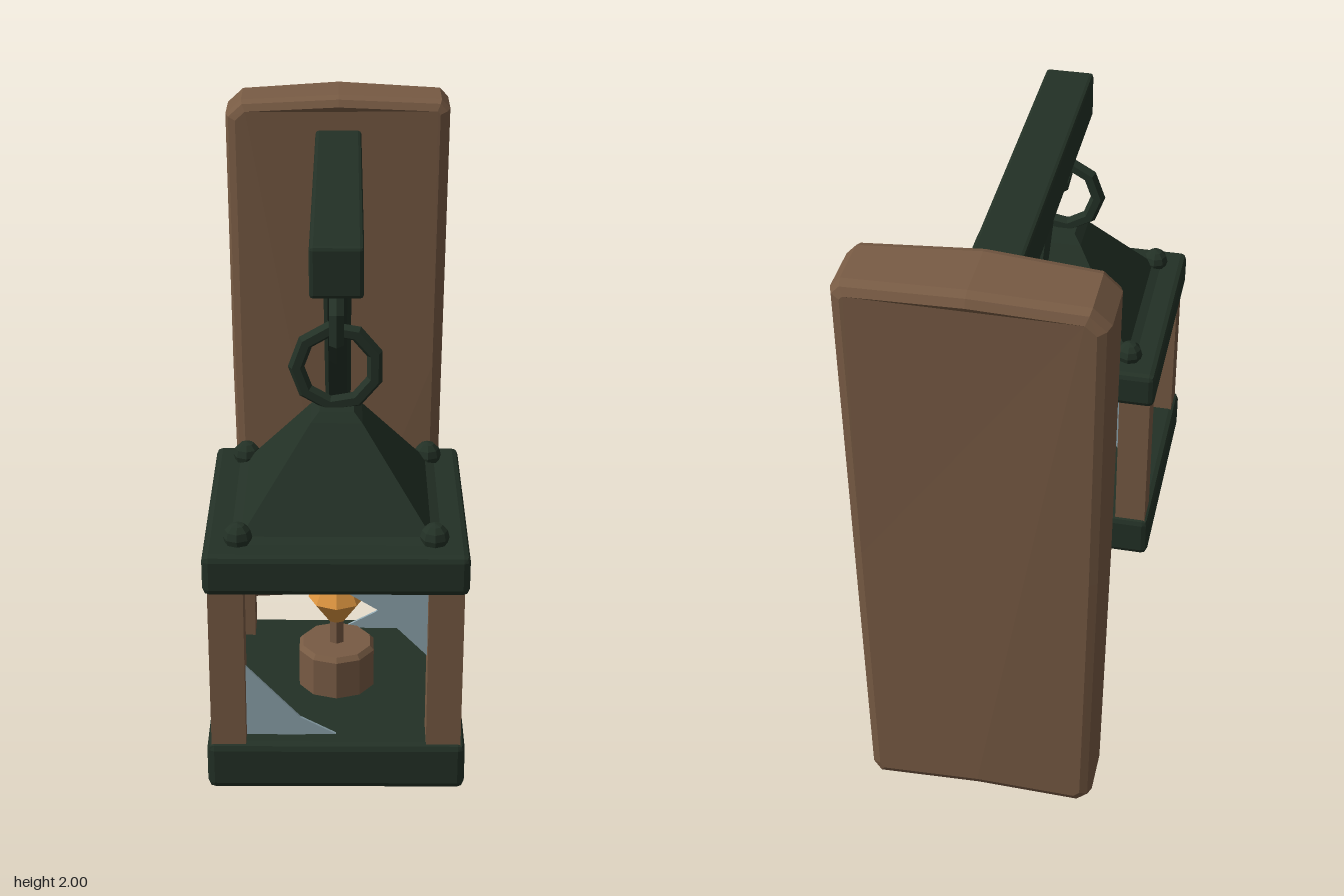
import * as THREE from 'three';
import { RoundedBoxGeometry } from 'three/addons/geometries/RoundedBoxGeometry.js';

const CZ = 0.515; // lantern centre depth

export function createModel() {
  const model = new THREE.Group();
  model.name = 'wallLantern';

  const paint = (name, color, side = THREE.FrontSide) => {
    const m = new THREE.MeshStandardMaterial({ color, flatShading: true, side });
    m.name = name;
    return m;
  };
  const wood = paint('wood', 0x785b44);
  const iron = paint('darkIron', 0x233126);
  const glass = paint('brokenGlass', 0x8fa6af, THREE.DoubleSide);
  const fire = paint('flame', 0xdd9540);

  const add = (name, geometry, material, x = 0, y = 0, z = 0, parent = model) => {
    const mesh = new THREE.Mesh(geometry, material);
    mesh.name = name;
    mesh.position.set(x, y, z);
    parent.add(mesh);
    return mesh;
  };
  const box = (w, h, d, r) => new RoundedBoxGeometry(w, h, d, 1, r);
  const lathe = (points, sides) =>
    new THREE.LatheGeometry(points.map(([r, y]) => new THREE.Vector2(r, y)), sides);
  const shape = (points) => new THREE.Shape(points.map(([x, y]) => new THREE.Vector2(x, y)));

  // Hand-hewn wall board, bulging slightly along its middle
  const outline = [
    [-0.33, 0.012], [0, 0.035], [0.34, 0.002], [0.37, 0.05], [0.38, 1.0], [0.39, 1.95],
    [0.36, 1.982], [0, 2.0], [-0.34, 1.98], [-0.395, 1.93], [-0.388, 1.0], [-0.372, 0.05],
  ];
  const boardGeo = new THREE.ExtrudeGeometry(shape(outline), {
    depth: 0.155, bevelThickness: 0.04, bevelSize: 0.035, bevelOffset: -0.035, bevelSegments: 2,
  });
  boardGeo.translate(0, 0, -0.85);
  const p = boardGeo.attributes.position;
  for (let i = 0; i < p.count; i++) {
    const bulge = 0.013 * (1 - Math.min(1, Math.abs(p.getX(i)) / 0.35));
    const lean = 0.005 * (p.getY(i) - 1);
    p.setZ(i, p.getZ(i) + (p.getZ(i) > -0.77 ? bulge + lean : -bulge - lean));
  }
  add('wallBoard', boardGeo, wood);

  // Bracket arm and diagonal brace
  add('bracketArm', box(0.16, 0.16, 1.29, 0.012), iron, 0, 1.8, -0.019);
  const top = new THREE.Vector3(0, 1.755, 0.238);
  const foot = new THREE.Vector3(0, 0.675, -0.67);
  const dir = top.clone().sub(foot);
  const brace = add('brace', new THREE.CylinderGeometry(0.045, 0.045, dir.length(), 8), iron);
  brace.position.copy(top).add(foot).multiplyScalar(0.5);
  brace.quaternion.setFromUnitVectors(new THREE.Vector3(0, 1, 0), dir.normalize());

  // Bolts on the board
  const bolt = (r) => new THREE.SphereGeometry(r, 8, 6);
  for (const y of [1.43, 0.305]) {
    add('boardBolt', bolt(0.058), iron, 0, y, -0.647).rotation.x = Math.PI / 2;
  }

  // Two linked chain rings
  const ring = new THREE.TorusGeometry(0.122, 0.025, 6, 9);
  add('upperRing', ring, iron, 0, 1.63, CZ).rotation.y = Math.PI / 2;
  add('lowerRing', ring, iron, 0, 1.468, CZ).rotation.z = Math.PI;

  // Lantern body
  const lantern = new THREE.Group();
  lantern.name = 'lantern';
  lantern.position.z = CZ;
  model.add(lantern);

  add('topPlate', box(0.79, 0.13, 0.79, 0.02), iron, 0, 0.96, 0, lantern);
  add('bottomPlate', box(0.79, 0.158, 0.79, 0.022), iron, 0, 0.299, 0, lantern);

  // Square roof: half widths become corner radii
  const roof = [[0.325, 1.02], [0.283, 1.037], [0.078, 1.315], [0.052, 1.342], [0, 1.342]];
  add('roof', lathe(roof.map(([w, y]) => [w * Math.SQRT2, y]), 4), iron, 0, 0, 0, lantern)
    .rotation.y = Math.PI / 4;
  add('bottomFinial', lathe([[0, 0.045], [0.068, 0.045], [0.085, 0.06], [0.222, 0.225]], 8),
    iron, 0, 0, 0, lantern);

  // Corner posts and roof bolts
  for (const sx of [-1, 1]) {
    for (const sz of [-1, 1]) {
      add('post', new THREE.BoxGeometry(0.106, 0.54, 0.106), wood,
        sx * 0.328, 0.637, sz * 0.328, lantern);
      add('roofBolt', bolt(0.044), iron, sx * 0.292, 1.043, sz * 0.292, lantern);
    }
  }

  // Candle holder, stem and flame
  add('candleBase', lathe([[0, 0.37], [0.125, 0.37], [0.125, 0.505], [0.112, 0.52], [0, 0.52]], 10),
    wood, 0, 0, 0, lantern);
  add('candleStem', new THREE.CylinderGeometry(0.025, 0.025, 0.12, 6), wood, 0, 0.56, 0, lantern);
  add('flame', lathe([[0, 0.6], [0.03, 0.6], [0.09, 0.68], [0.014, 0.835], [0, 0.84]], 8),
    fire, 0, 0, 0, lantern);

  // Broken panes: a lower shard on each side, an upper one on front and back
  const panes = [
    { turn: 0, low: [[-0.275, 0.62], [-0.11, 0.44], [0, 0.38]],
      high: [[0.275, 0.66], [0.12, 0.82], [0, 0.895]] },
    { turn: 1, low: [[-0.275, 0.73], [-0.125, 0.5], [-0.075, 0.44], [0.01, 0.38]] },
    { turn: 2, low: [[-0.275, 0.56], [-0.13, 0.44], [-0.02, 0.38]],
      high: [[0.275, 0.64], [0.18, 0.8], [0.02, 0.895]] },
    { turn: 3, low: [[-0.275, 0.67], [-0.125, 0.52], [-0.05, 0.43], [0, 0.38]] },
  ];
  for (const { turn, low, high } of panes) {
    const pane = new THREE.Group();
    pane.name = 'brokenPane';
    pane.rotation.y = turn * Math.PI / 2;
    lantern.add(pane);
    const shard = (name, corner, edge) => add(name,
      new THREE.ExtrudeGeometry(shape([corner, ...edge]), { depth: 0.009, bevelEnabled: false }),
      glass, 0, 0, 0.323, pane);
    shard('lowerShard', [-0.275, 0.375], low);
    if (high) shard('upperShard', [0.275, 0.9], high);
  }
  return model;
}
